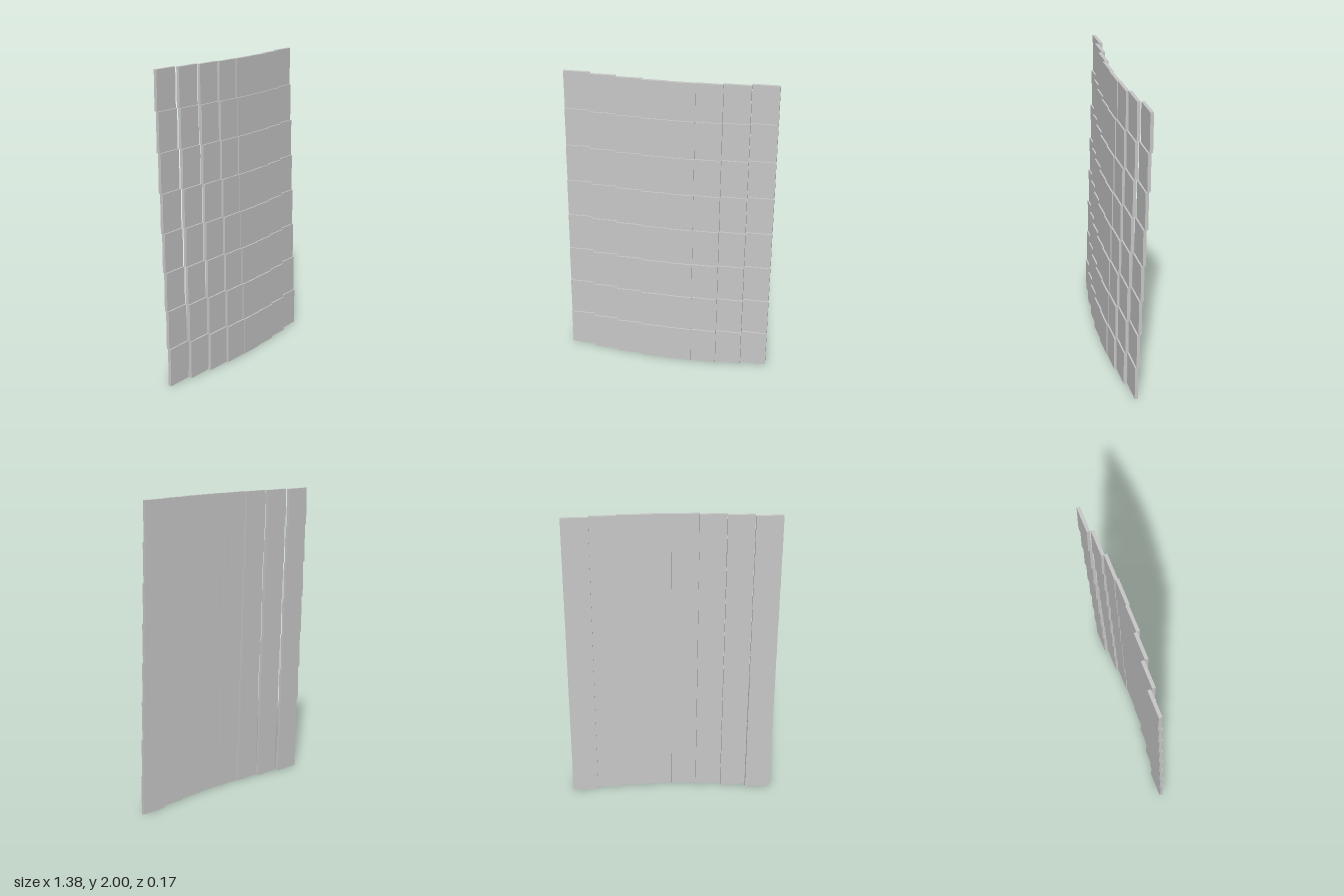
import * as THREE from 'three';

// A leaning, gently curved screen made of an 8 x 8 grid of flat panels.
const COLS = 8, ROWS = 8;
const W = 11 / 64, H = 0.25, T = 0.021;
const LEAN = 0.0098;   // each row steps back by this much
const CURVE = 0.076;   // how far the outermost column sits behind the middle one

export function createModel() {
  const group = new THREE.Group();
  group.name = 'panelScreen';
  const grey = new THREE.MeshStandardMaterial({ color: 0xc8c8c8 });
  grey.name = 'lightGrey';
  const panel = new THREE.BoxGeometry(W, H, T);

  for (let c = 0; c < COLS; c++) {
    const column = new THREE.Group();
    column.name = `column${c + 1}`;
    // cosine bow, furthest forward at the fifth column
    const bow = CURVE * (1 - Math.cos((c - 4) * Math.PI / 8));
    column.position.set((c - (COLS - 1) / 2) * W, 0, 0.0723 - bow);
    for (let r = 0; r < ROWS; r++) {
      const mesh = new THREE.Mesh(panel, grey);
      mesh.name = `panel${r + 1}`;
      mesh.position.set(0, (r + 0.5) * H, -r * LEAN);
      column.add(mesh);
    }
    group.add(column);
  }
  return group;
}
